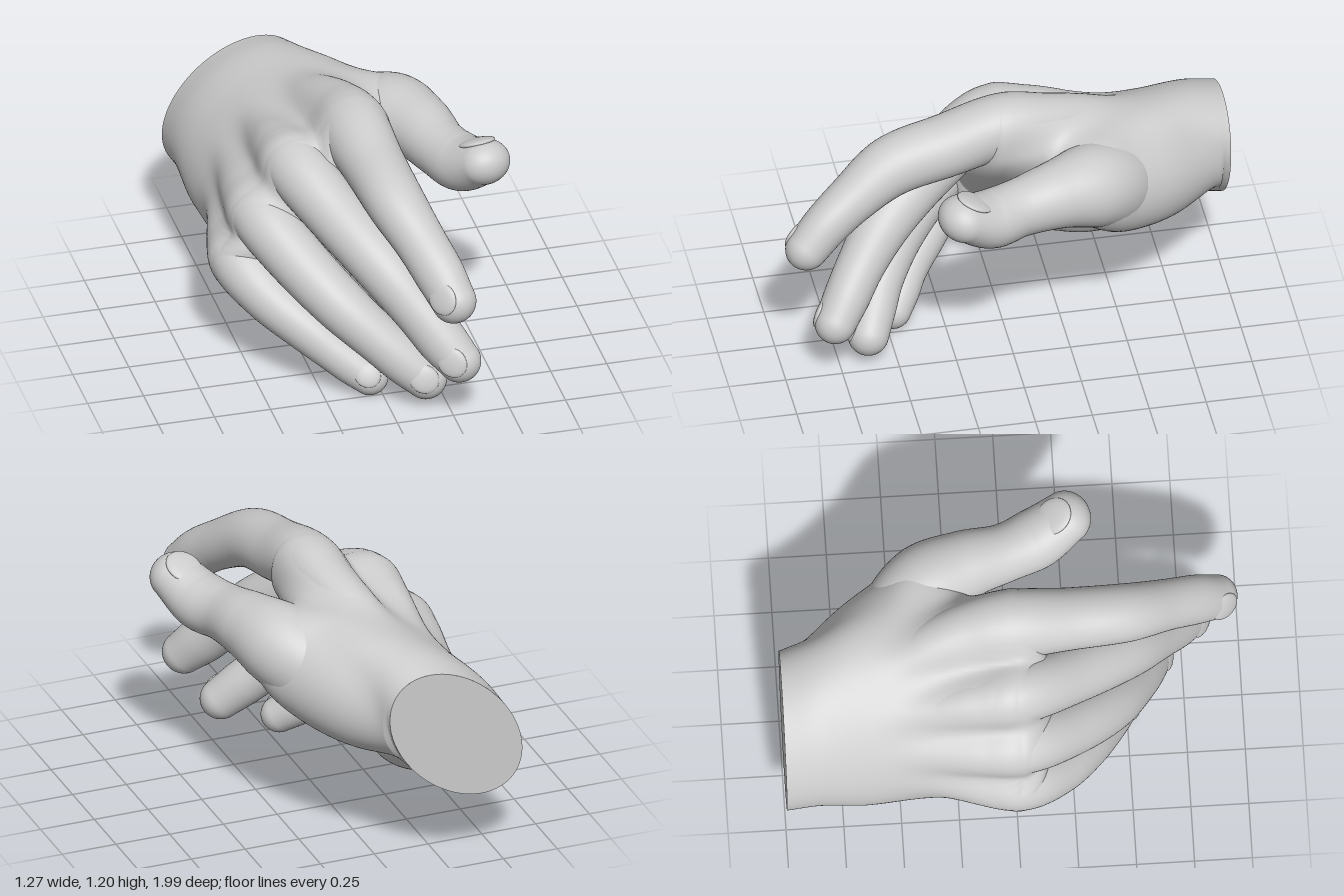
import * as THREE from 'three';

const skin = new THREE.MeshStandardMaterial({ color: 0xcccccc });
const ACROSS = new THREE.Vector3(0.7, 0.714, 0); // little finger to index finger
const BACK = new THREE.Vector3(-0.714, 0.7, 0); // out of the back of the hand
const AXIS = new THREE.Vector3(0, 0, 1); // wrist to fingers
const THUMB_BACK = new THREE.Vector3(0.1, 1, 0).normalize();

// All rows are [x, y, z, half width, half thickness, arch]
const PALM = [
  [-0.28, 0.65, -1.0, 0.365, 0.24, 0],
  [-0.26, 0.68, -0.85, 0.385, 0.24, 0],
  [-0.22, 0.68, -0.65, 0.44, 0.24, 0.01],
  [-0.19, 0.695, -0.4, 0.46, 0.22, 0.03],
  [-0.195, 0.71, -0.15, 0.45, 0.2, 0.06],
  [-0.205, 0.725, 0.02, 0.43, 0.18, 0.08],
];
const THUMB_MOUND = [
  [-0.11, 0.69, -0.97, 0.12, 0.12],
  [0.0, 0.72, -0.75, 0.21, 0.2],
  [0.1, 0.77, -0.55, 0.235, 0.23],
  [0.19, 0.82, -0.4, 0.23, 0.21],
  [0.2, 0.85, -0.27, 0.16, 0.16],
  [0.12, 0.86, -0.15, 0.04, 0.04],
];
const HEEL_MOUND = [
  [-0.3, 0.55, -0.88, 0.08, 0.08],
  [-0.28, 0.49, -0.65, 0.17, 0.18],
  [-0.285, 0.455, -0.42, 0.19, 0.2],
  [-0.32, 0.445, -0.2, 0.17, 0.175],
  [-0.37, 0.43, 0.02, 0.14, 0.145],
];

// Each finger runs from inside the palm, over its knuckle, to the tip
const FINGERS = {
  index: [
    [-0.11, 0.83, -0.75, 0.06, 0.06],
    [-0.055, 0.97, -0.42, 0.10, 0.11],
    [-0.015, 1.03, -0.18, 0.135, 0.125],
    [0.0, 1.048, 0.0, 0.155, 0.14],
    [0.03, 0.998, 0.25, 0.136, 0.138],
    [0.063, 0.945, 0.5, 0.126, 0.132],
    [0.125, 0.845, 0.68, 0.112, 0.11],
    [0.175, 0.752, 0.81, 0.11, 0.1],
    [0.213, 0.667, 0.9, 0.099, 0.092],
  ],
  middle: [
    [-0.25, 0.76, -0.75, 0.06, 0.06],
    [-0.27, 0.84, -0.4, 0.09, 0.10],
    [-0.275, 0.895, -0.15, 0.12, 0.12],
    [-0.26, 0.908, 0.02, 0.138, 0.133],
    [-0.14, 0.785, 0.27, 0.13, 0.13],
    [0.003, 0.637, 0.5, 0.123, 0.124],
    [0.12, 0.487, 0.64, 0.11, 0.106],
    [0.205, 0.372, 0.725, 0.109, 0.1],
    [0.268, 0.292, 0.785, 0.095, 0.09],
  ],
  ring: [
    [-0.34, 0.66, -0.75, 0.06, 0.06],
    [-0.40, 0.68, -0.4, 0.09, 0.09],
    [-0.425, 0.695, -0.15, 0.115, 0.115],
    [-0.42, 0.69, 0.03, 0.13, 0.125],
    [-0.31, 0.57, 0.24, 0.126, 0.124],
    [-0.165, 0.427, 0.42, 0.117, 0.117],
    [-0.02, 0.293, 0.53, 0.105, 0.102],
    [0.075, 0.205, 0.58, 0.103, 0.098],
    [0.162, 0.126, 0.62, 0.092, 0.089],
  ],
  little: [
    [-0.38, 0.56, -0.75, 0.06, 0.06],
    [-0.45, 0.53, -0.4, 0.08, 0.08],
    [-0.5, 0.49, -0.15, 0.11, 0.11],
    [-0.512, 0.467, 0.02, 0.124, 0.12],
    [-0.425, 0.372, 0.18, 0.112, 0.112],
    [-0.287, 0.265, 0.31, 0.102, 0.104],
    [-0.19, 0.187, 0.385, 0.092, 0.09],
    [-0.115, 0.13, 0.43, 0.09, 0.086],
    [-0.05, 0.081, 0.472, 0.081, 0.079],
  ],
};
const THUMB = [
  [0.06, 0.77, -0.6, 0.1, 0.1],
  [0.16, 0.8, -0.48, 0.17, 0.18],
  [0.27, 0.875, -0.34, 0.185, 0.185],
  [0.34, 0.9, -0.18, 0.152, 0.15],
  [0.39, 0.89, 0.0, 0.128, 0.127],
  [0.448, 0.892, 0.14, 0.134, 0.126],
  [0.512, 0.958, 0.27, 0.118, 0.1],
];

// Closed skin through rings of points
function ringMesh(name, rings, sides, pointAt) {
  const positions = [], index = [];
  for (let i = 0; i <= rings; i++) {
    for (let j = 0; j < sides; j++) {
      positions.push(...pointAt(i, j / sides * Math.PI * 2).toArray());
      if (i === rings) continue;
      const n = (j + 1) % sides, r0 = i * sides, r1 = r0 + sides;
      index.push(r0 + j, r0 + n, r1 + j, r0 + n, r1 + n, r1 + j);
    }
  }
  const geometry = new THREE.BufferGeometry();
  geometry.setAttribute('position', new THREE.Float32BufferAttribute(positions, 3));
  geometry.setIndex(index);
  geometry.computeVertexNormals();
  const mesh = new THREE.Mesh(geometry, skin);
  mesh.name = name;
  return mesh;
}

// Smooth interpolation of rows at a given z
function rowAt(rows, z) {
  let i = 0;
  while (i < rows.length - 2 && z > rows[i + 1][2]) i++;
  const a = rows[i], b = rows[i + 1], h = b[2] - a[2], t = (z - a[2]) / h;
  const before = rows[Math.max(0, i - 1)], after = rows[Math.min(rows.length - 1, i + 2)];
  return a.map((v, c) => {
    const ma = (b[c] - before[c]) / (b[2] - before[2]) * h;
    const mb = (after[c] - v) / (after[2] - a[2]) * h;
    const d = b[c] - v;
    return v + t * (ma + t * (3 * d - 2 * ma - mb + t * (ma + mb - 2 * d)));
  });
}

// Palm: each cross-section is a soft union of the palm, its mounds and the hand bones
function buildPalm() {
  const masses = [PALM, THUMB_MOUND, HEEL_MOUND, ...Object.values(FINGERS)];
  const steps = 110, cap = 20, soft = 0.025;
  let sections, core, z, k;
  const outside = (x, y) => {
    let sum = 0;
    for (const [cx, cy, , w, h, arch = 0] of sections) {
      const u = ((x - cx) * ACROSS.x + (y - cy) * ACROSS.y) / w;
      const lift = arch * (0.5 - Math.min(1, u * u));
      const v = ((x - cx) * BACK.x + (y - cy) * BACK.y - lift) / h;
      sum += Math.exp((1 - Math.hypot(u, v)) * Math.min(w, h) / soft);
    }
    return sum < 1;
  };
  return ringMesh('palm', steps + cap, 144, (i, angle) => {
    if (angle === 0) {
      const phi = Math.max(0, i - steps) / cap * Math.PI / 2;
      const at = -1 + 1.02 * Math.min(1, i / steps);
      sections = masses.filter(m => at >= m[0][2] && (m !== THUMB_MOUND || at < -0.15))
        .map(m => rowAt(m, at));
      core = sections[0];
      z = at + 0.15 * Math.sin(phi);
      k = Math.cos(phi);
    }
    const dir = ACROSS.clone().multiplyScalar(Math.cos(angle)).addScaledVector(BACK, Math.sin(angle));
    const [cx, cy] = core;
    let far = 0.8;
    while (far > 0.05 && outside(cx + dir.x * far, cy + dir.y * far)) far -= 0.02;
    let step = 0.02;
    for (let n = 0; n < 10; n++) {
      step /= 2;
      const r = far + step;
      if (!outside(cx + dir.x * r, cy + dir.y * r)) far = r;
    }
    return new THREE.Vector3(cx, cy, z).addScaledVector(dir, far * k);
  });
}

// Path, thickness and local axes of a digit
function makeLimb(rows, back) {
  const path = new THREE.CatmullRomCurve3(rows.map(r => new THREE.Vector3(r[0], r[1], r[2])));
  const size = new THREE.CatmullRomCurve3(
    rows.map(r => new THREE.Vector3(r[3], r[4], 0)), false, 'catmullrom', 0.5);
  return t => {
    const along = path.getTangent(t);
    const out = back.clone().addScaledVector(along, -back.dot(along)).normalize();
    return { centre: path.getPoint(t), size: size.getPoint(t), along, out, side: out.clone().cross(along) };
  };
}

// Finger or thumb with a rounded tip and a nail
function buildDigit(name, rows, back) {
  const limb = makeLimb(rows, back), steps = 72, cap = 12;
  const digit = new THREE.Group();
  digit.name = name;
  digit.add(ringMesh(name + 'Skin', steps + cap, 48, (i, angle) => {
    const phi = Math.max(0, i - steps) / cap * Math.PI / 2, k = Math.cos(phi);
    const { centre, size, along, out, side } = limb(Math.min(1, i / steps));
    return centre.addScaledVector(along, (size.x + size.y) / 2 * Math.sin(phi))
      .addScaledVector(side, k * size.x * Math.cos(angle))
      .addScaledVector(out, k * size.y * Math.sin(angle));
  }));

  const { centre, size, along, out, side } = limb(0.98);
  const nail = new THREE.Mesh(new THREE.SphereGeometry(1, 24, 16), skin);
  nail.name = name + 'Nail';
  nail.scale.set(size.x * 0.66, 0.02, size.x * 0.72);
  nail.quaternion.setFromRotationMatrix(new THREE.Matrix4().makeBasis(side, out, along));
  nail.position.copy(centre).addScaledVector(out, size.y * 0.84);
  digit.add(nail);
  return digit;
}

export function createModel() {
  const hand = new THREE.Group();
  hand.name = 'hand';
  hand.add(buildPalm());

  // Flat cut at the wrist
  const [x, y, z, w, h] = PALM[0];
  const cut = new THREE.Mesh(new THREE.CircleGeometry(1, 144), skin);
  cut.name = 'wristCut';
  cut.scale.set(w, h, 1);
  cut.position.set(x, y, z);
  cut.quaternion.setFromRotationMatrix(new THREE.Matrix4().makeBasis(
    ACROSS, BACK.clone().negate(), AXIS.clone().negate()));
  hand.add(cut);

  for (const [name, rows] of Object.entries(FINGERS)) hand.add(buildDigit(name + 'Finger', rows, BACK));
  hand.add(buildDigit('thumb', THUMB, THUMB_BACK));
  return hand;
}
